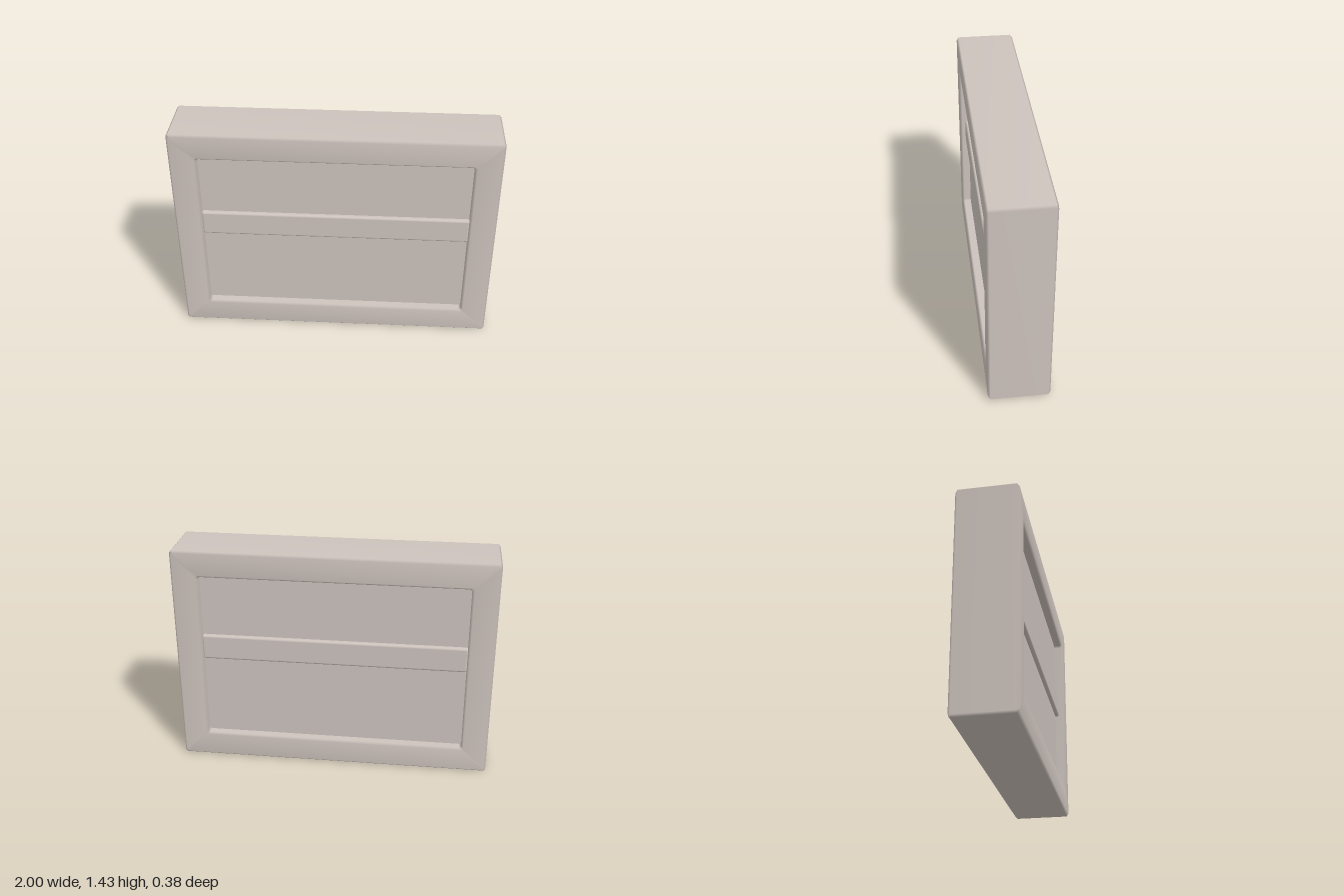
import * as THREE from 'three';
import { RoundedBoxGeometry } from 'three/addons/geometries/RoundedBoxGeometry.js';

const WIDTH = 2, HEIGHT = 1.435, HALF_DEPTH = 0.19, RAIL = 0.165, BEVEL = 0.013;

// Rectangle with small cut corners, counter-clockwise seen from the front
function rectLoop(inset, z) {
  const w = WIDTH / 2 - inset, h = HEIGHT / 2 - inset, c = 0.013;
  return [
    [w, -h + c], [w, h - c], [w - c, h], [-w + c, h],
    [-w, h - c], [-w, -h + c], [-w + c, -h], [w - c, -h],
  ].map(([x, y]) => [x, y + HEIGHT / 2, z]);
}

// Bevelled rail section [inset, z] swept around the rectangle
function frameGeometry() {
  const d = HALF_DEPTH, b = BEVEL;
  const section = [
    [0, -d + b], [0, d - b], [b, d], [RAIL - b, d],
    [RAIL, d - b], [RAIL, -d + b], [RAIL - b, -d], [b, -d],
  ];
  const positions = section.flatMap(([inset, z]) => rectLoop(inset, z).flat());
  const index = [], n = 8, m = section.length;
  for (let i = 0; i < m; i++) {
    for (let k = 0; k < n; k++) {
      const a = i * n + k, a2 = i * n + (k + 1) % n;
      const e = ((i + 1) % m) * n + k, e2 = ((i + 1) % m) * n + (k + 1) % n;
      index.push(a, a2, e, a2, e2, e);
    }
  }
  const geometry = new THREE.BufferGeometry();
  geometry.setAttribute('position', new THREE.Float32BufferAttribute(positions, 3));
  geometry.setIndex(index);
  geometry.computeVertexNormals();
  return geometry;
}

export function createModel() {
  const group = new THREE.Group();
  group.name = 'window';
  const paint = new THREE.MeshStandardMaterial({ color: 0xcdc3bd });
  paint.name = 'warm grey';

  const add = (name, geometry, y) => {
    const mesh = new THREE.Mesh(geometry, paint);
    mesh.name = name;
    mesh.position.y = y;
    group.add(mesh);
  };

  // Outer frame
  add('frame', frameGeometry(), 0);

  // Recessed pane, the same on both faces
  const innerWidth = WIDTH - 2 * RAIL, innerHeight = HEIGHT - 2 * RAIL;
  add('pane', new THREE.BoxGeometry(innerWidth + 0.02, innerHeight + 0.02, 0.264), HEIGHT / 2);

  // Horizontal bar, standing slightly proud of the pane
  add('crossbar', new RoundedBoxGeometry(innerWidth + 0.01, 0.165, 0.314, 3, 0.015), 0.783);

  return group;
}
